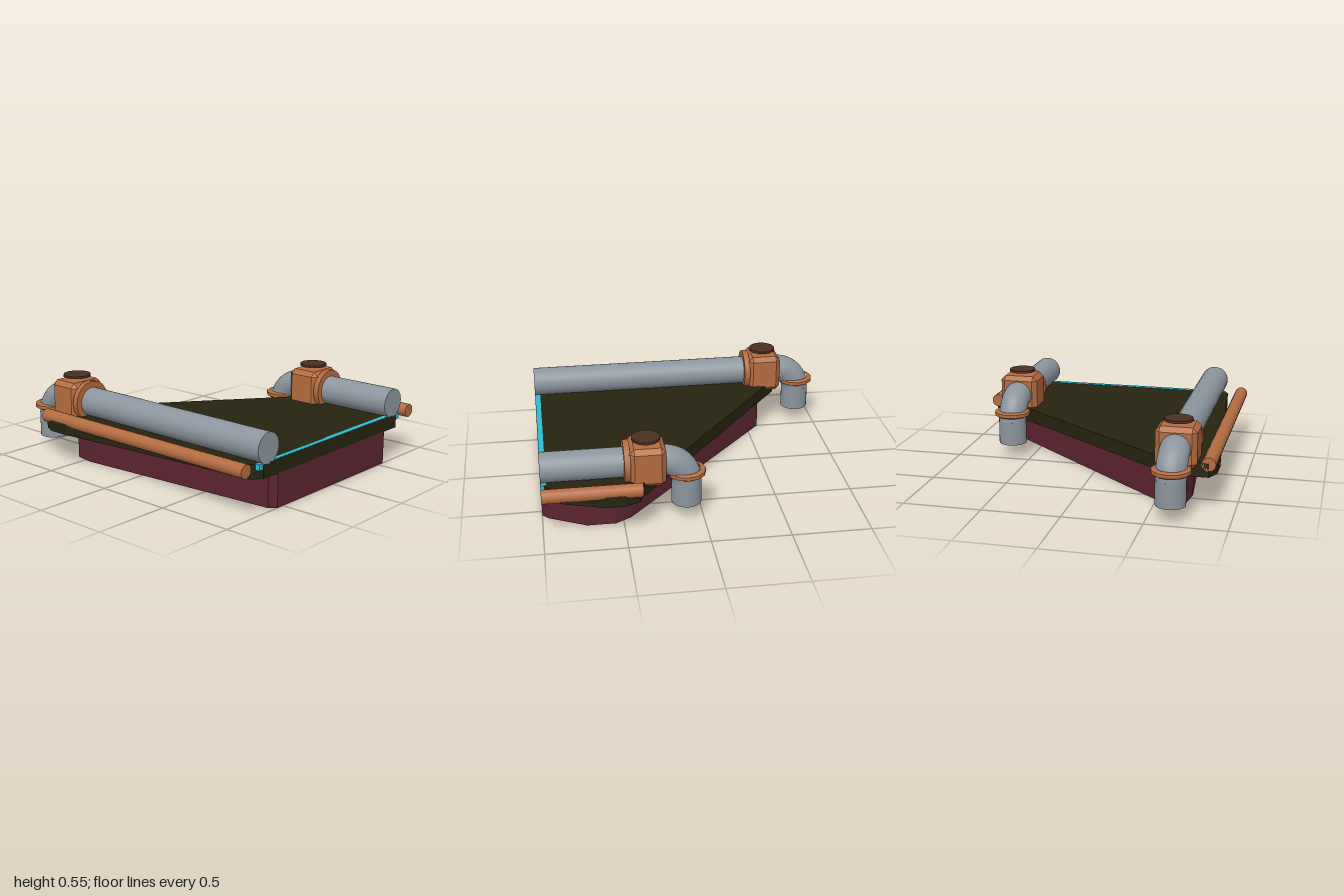
import * as THREE from 'three';
import { ConvexGeometry } from 'three/addons/geometries/ConvexGeometry.js';

const mat = (name, color, flatShading = false) => {
  const m = new THREE.MeshStandardMaterial({ color, flatShading });
  m.name = name;
  return m;
};

// Horizontal slab from an outline of [x, z] points between two heights
function slab(points, y0, y1) {
  const shape = new THREE.Shape(points.map(([x, z]) => new THREE.Vector2(x, -z)));
  const g = new THREE.ExtrudeGeometry(shape, { depth: y1 - y0, bevelEnabled: false });
  return g.rotateX(-Math.PI / 2).translate(0, y0, 0);
}

// Box with every edge and corner chamfered
function chamferBox(w, h, d, c) {
  const pts = [];
  for (const sx of [-1, 1]) for (const sy of [-1, 1]) for (const sz of [-1, 1]) {
    for (let axis = 0; axis < 3; axis++) {
      const p = [w / 2 - c, h / 2 - c, d / 2 - c];
      p[axis] += c;
      pts.push(new THREE.Vector3(p[0] * sx, p[1] * sy, p[2] * sz));
    }
  }
  return new ConvexGeometry(pts);
}

// Round bar lying along x
function barX(x0, x1, r, sides) {
  return new THREE.CylinderGeometry(r, r, x1 - x0, sides).rotateZ(Math.PI / 2).translate((x0 + x1) / 2, 0, 0);
}

export function createModel() {
  const model = new THREE.Group();
  model.name = 'pipePlatform';
  const olive = mat('dark olive', 0x26240f);
  const maroon = mat('maroon', 0x5c2430);
  const copper = mat('copper', 0xb46c40);
  const copperFlat = copper;
  const grey = mat('pipe grey', 0x8c959e);
  const cyan = mat('cyan', 0x2cbcd0);
  const brown = mat('dark brown', 0x4a3020);

  const add = (parent, name, geometry, material, x = 0, y = 0, z = 0) => {
    const m = new THREE.Mesh(geometry, material);
    m.name = name;
    m.position.set(x, y, z);
    parent.add(m);
    return m;
  };

  // Base and overhanging deck
  add(model, 'base', slab([
    [1, 0.55], [0.96, 0.59], [-0.45, 0.71], [-0.58, 0.69], [-0.58, 0.5],
    [0.45, -0.65], [0.55, -0.71], [0.73, -0.71], [0.96, -0.59], [1, -0.55],
  ], 0, 0.215), maroon);
  add(model, 'deck', slab([
    [1, 0.685], [0.95, 0.745], [0.45, 0.79], [-0.1, 0.84], [-0.48, 0.88], [-0.63, 0.88],
    [-0.71, 0.84], [-0.71, 0.61], [0.39, -0.79], [0.41, -0.84], [0.5, -0.88], [0.62, -0.88],
    [0.87, -0.8], [0.96, -0.745], [1, -0.685],
  ], 0.215, 0.305), olive);

  // Light strip set into the deck edge
  add(model, 'lightStrip', new THREE.BoxGeometry(0.034, 0.037, 1.44), cyan, 0.982, 0.289, 0);

  // Pipe run: x0 is the centre of the down pipe
  const pipeRun = (name, x0, z) => {
    const g = new THREE.Group();
    g.name = name;
    g.position.set(x0, 0, z);
    model.add(g);
    const bend = new THREE.CurvePath();
    const profile = new THREE.EllipseCurve(0.15, 0.24, 0.15, 0.15, Math.PI, Math.PI / 2, true);
    bend.add(new THREE.CatmullRomCurve3(profile.getPoints(12).map(p => new THREE.Vector3(p.x, p.y, 0))));
    add(g, 'elbow', new THREE.TubeGeometry(bend, 14, 0.094, 24), grey);
    add(g, 'downPipe', new THREE.CylinderGeometry(0.094, 0.094, 0.16, 24), grey, 0, 0.17, 0);
    add(g, 'mainPipe', barX(0.14, 1 - x0, 0.095, 28), grey, 0, 0.39, 0);

    // Collar round the down pipe
    const collar = [[0.09, 0.282], [0.11, 0.282], [0.122, 0.29], [0.122, 0.312], [0.11, 0.32], [0.09, 0.32]];
    add(g, 'collar', new THREE.LatheGeometry(collar.map(p => new THREE.Vector2(...p)), 12).toNonIndexed(), copper)
      .geometry.computeVertexNormals();

    // Valve body with its side flange and cap
    add(g, 'valveBody', chamferBox(0.225, 0.255, 0.258, 0.03), copperFlat, 0.249, 0.392, 0);
    add(g, 'valveFlange', barX(0.355, 0.393, 0.135, 16), copper, 0, 0.393, 0);
    add(g, 'valveCap', new THREE.CylinderGeometry(0.09, 0.09, 0.016, 12), brown, 0.25, 0.546, 0);
  };
  pipeRun('frontPipeRun', -0.88, 0.64);
  pipeRun('backPipeRun', 0.1, -0.64);

  // Edge rails
  add(model, 'frontRail', barX(-0.71, 1, 0.044, 16), copper, 0, 0.297, 0.838);
  add(model, 'backRail', barX(0.39, 1, 0.044, 16), copper, 0, 0.297, -0.838);

  return model;
}
